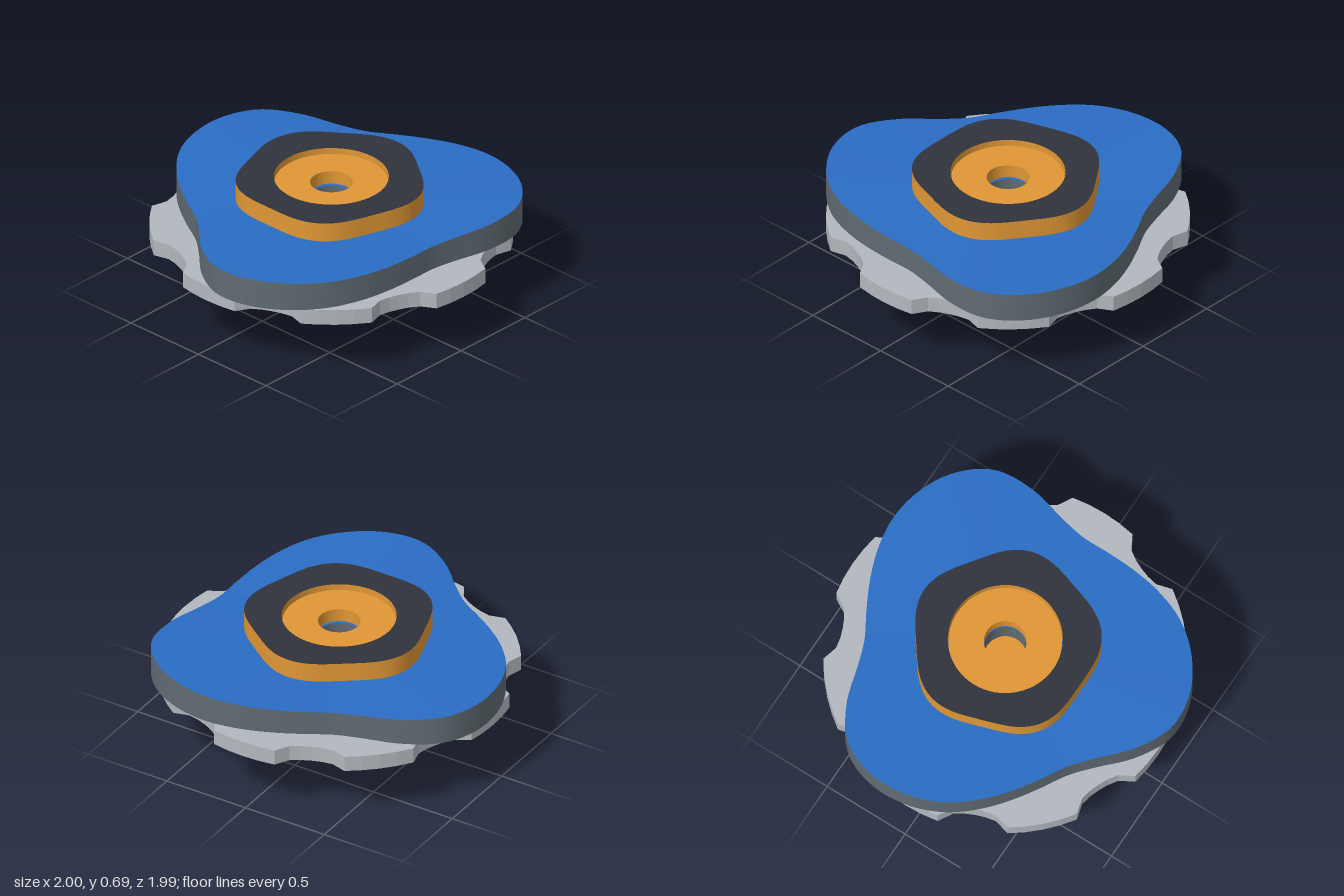
import * as THREE from 'three';

const AXIS_X = 0.02, AXIS_Z = -0.02, BORE = 0.115, TAU = Math.PI * 2;
const paint = (color) => new THREE.MeshStandardMaterial({ color });

// Periodic smooth interpolation through evenly spaced radii
function periodic(values, u) {
  const n = values.length, f = (((u % 1) + 1) % 1) * n, i = Math.floor(f), t = f - i;
  const [a, b, c, d] = [-1, 0, 1, 2].map((k) => values[(i + k + n) % n]);
  return 0.5 * (2 * b + (c - a) * t + (2 * a - 5 * b + 4 * c - d) * t * t + (3 * b - a - 3 * c + d) * t ** 3);
}

// Closed outline from a radius rule
function outline(radius, count) {
  return Array.from({ length: count }, (_, i) => {
    const a = (i / count) * TAU, r = radius(a);
    return new THREE.Vector2(r * Math.cos(a), r * Math.sin(a));
  });
}

// Upright slab between two heights, with an optional round hole
function slab(points, y0, y1, hole = 0) {
  const shape = new THREE.Shape(points);
  if (hole) shape.holes.push(new THREE.Path(outline(() => hole, 64)));
  const geo = new THREE.ExtrudeGeometry(shape, { depth: y1 - y0, bevelEnabled: false });
  return geo.rotateX(Math.PI / 2).translate(0, y1, 0);
}

// Surface through rings; each ring maps an angle to [radius, height]
function loft(rings, count = 144) {
  const pos = [], index = [];
  rings.forEach((ring, k) => {
    for (let j = 0; j < count; j++) {
      const a = (j / count) * TAU, [r, y] = ring(a);
      pos.push(r * Math.cos(a), y, r * Math.sin(a));
      if (k === 0) continue;
      const p = (k - 1) * count + j, q = (k - 1) * count + ((j + 1) % count);
      index.push(p, p + count, q, q, p + count, q + count);
    }
  });
  const geo = new THREE.BufferGeometry();
  geo.setAttribute('position', new THREE.Float32BufferAttribute(pos, 3));
  geo.setIndex(index);
  geo.computeVertexNormals();
  return geo;
}

// Toothed outline: flat-topped teeth with scooped valleys
function toothed(teeth, tip, valley) {
  const pts = [], step = TAU / teeth;
  const profile = [[-0.25, 1], [-0.125, 1], [0, 1], [0.125, 1], [0.25, 1],
    [0.335, 0.25], [0.42, 0.05], [0.5, 0], [0.58, 0.05], [0.665, 0.25]];
  for (let i = 0; i < teeth; i++) {
    for (const [u, h] of profile) {
      const a = (i + u) * step, r = valley + (tip - valley) * h;
      pts.push(new THREE.Vector2(r * Math.cos(a), r * Math.sin(a)));
    }
  }
  return pts;
}

export function createModel() {
  const model = new THREE.Group();
  const blue = paint(0x2a6cc4), slate = paint(0x5f6b72), silver = paint(0xb2b8be);
  const dark = paint(0x31333d), black = paint(0x24242c), orange = paint(0xe09735);
  const add = (name, geo, material) => {
    const mesh = new THREE.Mesh(geo, material);
    mesh.name = name;
    mesh.position.set(AXIS_X, 0, AXIS_Z);
    model.add(mesh);
  };

  // Three-lobed blade with a gently waving top
  const lobes = [0.76, 0.775, 0.82, 0.885, 0.955, 1.005, 1.03, 1.01, 0.915, 0.81];
  const edge = (a) => periodic(lobes, (a * 3) / TAU);
  const at = (t) => (a) => {
    const r = BORE + (edge(a) - BORE) * t;
    return [r, 0.567 + 0.013 * t * ((edge(a) - 0.895) / 0.135)];
  };
  const outerLow = (a) => [edge(a), 0.415], boreLow = () => [BORE, 0.415];
  add('bladeTop', loft([1, 0.8, 0.6, 0.4, 0.2, 0].map(at)), blue);
  add('bladeSide', loft([outerLow, at(1)]), slate);
  add('bladeBore', loft([at(0), boreLow]), slate);
  add('bladeUnderside', loft([boreLow, outerLow]), slate);

  // Large toothed disc under the blade
  add('gearDisc', slab(toothed(8, 0.98, 0.89), 0.325, 0.415), silver);

  // Five-cornered collar with dark faces and orange wall, and its recessed floor
  const collar = outline((a) => 0.5 + 0.02 * Math.cos(5 * (a + Math.PI / 2)), 120);
  add('collar', slab(collar, 0.58, 0.69, 0.31), [dark, orange]);
  add('collarFloor', slab(outline(() => 0.306, 64), 0.58, 0.656, BORE), orange);

  // Small scalloped gear and washer below
  add('lowerGear', slab(toothed(12, 0.485, 0.445), 0.205, 0.325), dark);
  add('washer', new THREE.CylinderGeometry(0.307, 0.307, 0.032, 64).translate(0, 0.191, 0), black);

  // Conical tip around the orange spindle
  const tip = [[0, 0.002], [0.08, 0.002], [0.08, 0.002], [0.222, 0.15], [0.222, 0.15],
    [0.23, 0.158], [0.23, 0.168], [0.23, 0.168], [0, 0.168]].map(([x, y]) => new THREE.Vector2(x, y));
  add('tip', new THREE.LatheGeometry(tip, 64), black);
  add('spindle', new THREE.CylinderGeometry(0.12, 0.08, 0.42, 48).translate(0, 0.21, 0), orange);
  return model;
}
